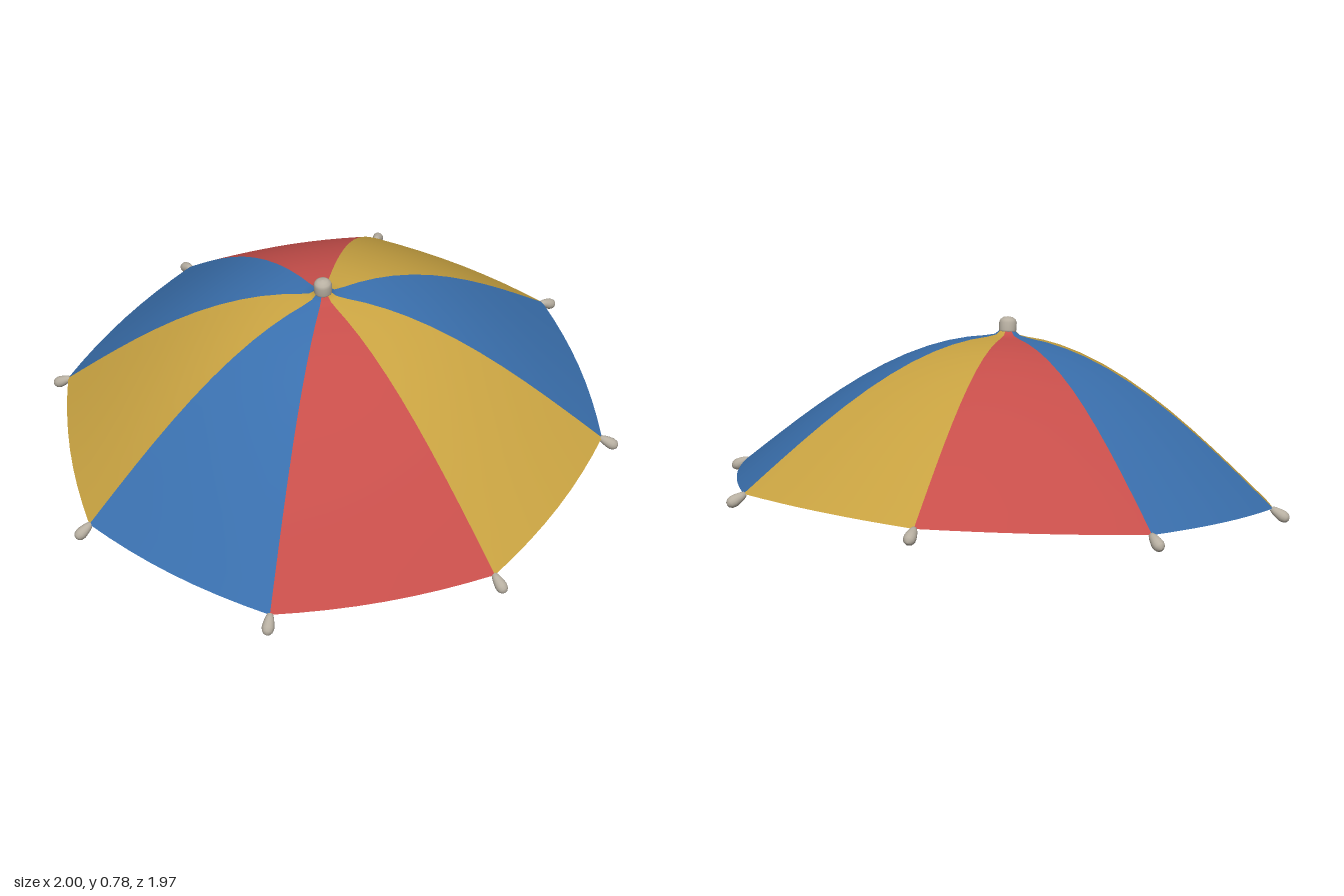
import * as THREE from 'three';

const RIBS = 8, RADIUS = 0.945, HEIGHT = 0.51, TILT = THREE.MathUtils.degToRad(10.2);
const RED = 0xc64e4a, BLUE = 0x3a70ae, YELLOW = 0xcaa442, GREY = 0xb8b0a2;
// Panel colours, counted from the front towards +x
const PANELS = [RED, YELLOW, BLUE, YELLOW, RED, BLUE, YELLOW, BLUE];

// Radius and height of the canopy rings, drawn up into the cap at the crown
function canopyRings() {
  const rings = [[0.02, 0.54], [0.03, 0.525], [0.045, 0.513]];
  for (const r of [0.08, 0.14, 0.21, 0.28, 0.36, 0.44, 0.52, 0.6, 0.68, 0.75, 0.82, 0.885, RADIUS])
    rings.push([r, HEIGHT * Math.cos((Math.PI / 2) * (r / RADIUS))]);
  return rings;
}

// One gore of fabric, its hem between a straight chord and a full arc
function panelGeometry(index) {
  const step = (Math.PI * 2) / RIBS, cols = 8, n = cols + 1;
  const rings = canopyRings(), pos = [], idx = [];
  rings.forEach(([r, y], i) => {
    for (let j = 0; j <= cols; j++) {
      const off = (j / cols - 0.5) * step;
      const chord = Math.cos(step / 2) / Math.cos(off);
      const rr = r * THREE.MathUtils.lerp(chord, 1, 0.4);
      const a = (index + 0.5) * step + off;
      pos.push(Math.sin(a) * rr, y, Math.cos(a) * rr);
      if (i < rings.length - 1 && j < cols) {
        const p = i * n + j;
        idx.push(p, p + n, p + 1, p + 1, p + n, p + n + 1);
      }
    }
  });
  const g = new THREE.BufferGeometry();
  g.setAttribute('position', new THREE.Float32BufferAttribute(pos, 3));
  g.setIndex(idx);
  g.computeVertexNormals();
  return g;
}

const lathe = (pts, seg) => new THREE.LatheGeometry(pts.map(p => new THREE.Vector2(...p)), seg);

export function createModel() {
  const model = new THREE.Group();
  model.name = 'umbrella';
  const body = new THREE.Group();
  body.name = 'tiltedCanopy';
  body.position.y = 0.215;
  body.rotation.x = TILT;
  model.add(body);

  const grey = new THREE.MeshStandardMaterial({ color: GREY });
  const fabric = {};
  for (const color of [RED, BLUE, YELLOW])
    fabric[color] = new THREE.MeshStandardMaterial({ color, side: THREE.DoubleSide });
  const add = (name, geometry, material, parent = body) => {
    const mesh = new THREE.Mesh(geometry, material);
    mesh.name = name;
    parent.add(mesh);
    return mesh;
  };

  // Fabric panels
  PANELS.forEach((color, i) => add('panel' + (i + 1), panelGeometry(i), fabric[color]));

  // Rib tips, teardrops pointing out and down
  const tipShape = lathe([[0, -0.036], [0.009, -0.033], [0.014, -0.02], [0.018, -0.003],
    [0.02, 0.012], [0.017, 0.025], [0.01, 0.033], [0, 0.036]], 14);
  for (let i = 0; i < RIBS; i++) {
    const arm = new THREE.Group();
    arm.name = 'ribTip' + (i + 1);
    arm.rotation.y = (i / RIBS) * Math.PI * 2;
    body.add(arm);
    const tip = add('tip', tipShape, grey, arm);
    tip.position.set(0, -0.017, 0.968);
    tip.rotation.x = Math.PI / 2 + Math.PI / 6;
  }

  // Crown cap
  add('cap', lathe([[0, 0.522], [0.028, 0.522], [0.03, 0.53], [0.03, 0.556], [0.026, 0.566],
    [0.016, 0.573], [0, 0.576]], 20), grey);

  // Hub collar and short shaft under the crown
  const collar = add('collar', new THREE.CylinderGeometry(0.031, 0.031, 0.04, 20), grey);
  collar.position.y = 0.485;
  const shaft = add('shaft', new THREE.CylinderGeometry(0.019, 0.019, 0.235, 18), grey);
  shaft.position.y = 0.415;

  return model;
}
